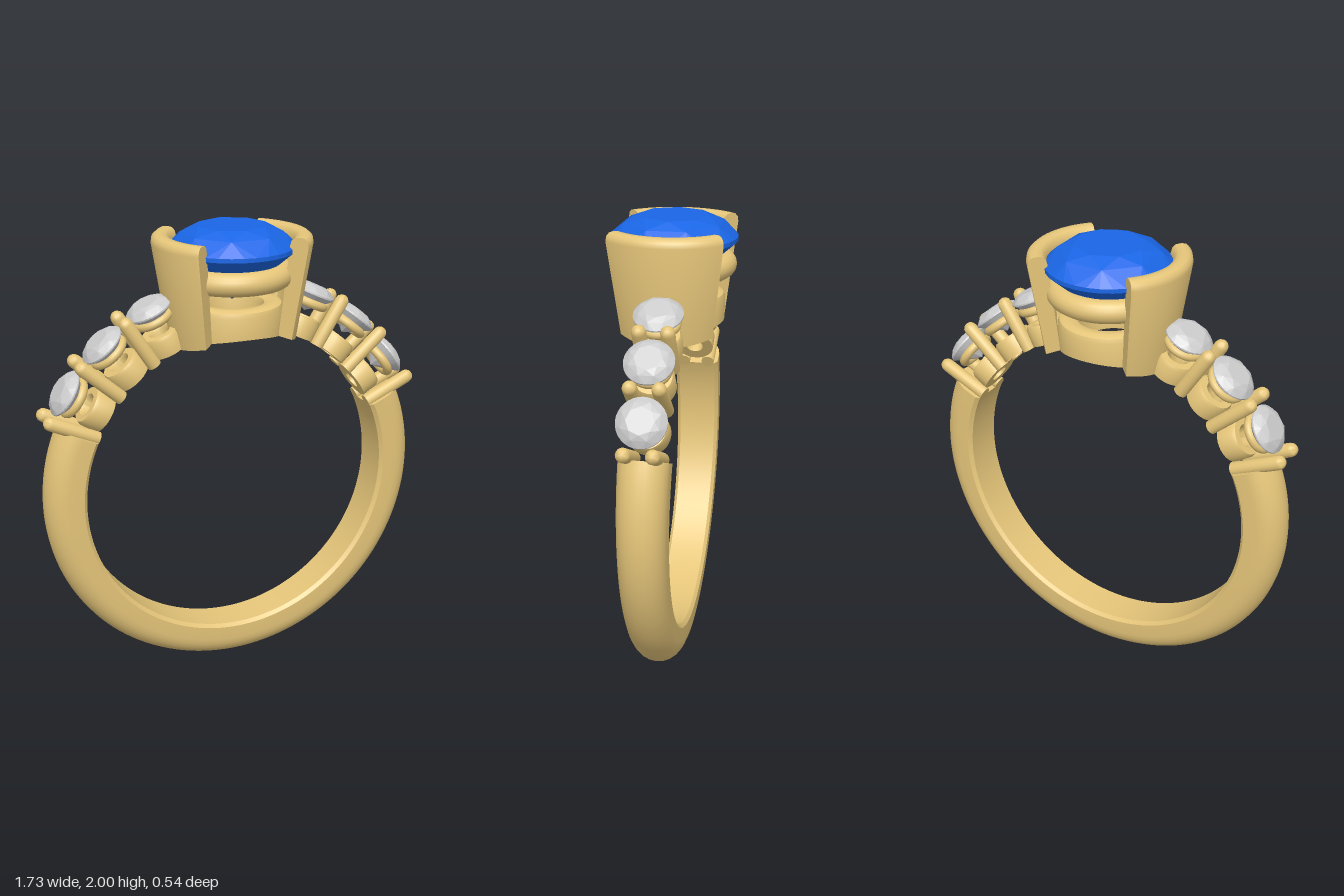
import * as THREE from 'three';
import { mergeGeometries, toCreasedNormals } from 'three/addons/utils/BufferGeometryUtils.js';
import { ConvexGeometry } from 'three/addons/geometries/ConvexGeometry.js';

const CENTRE_Y = 0.863, INNER = 0.695, OUTER = 0.863;
const rad = THREE.MathUtils.degToRad;
const gold = new THREE.MeshStandardMaterial({ color: 0xe6c67a });
const blue = new THREE.MeshStandardMaterial({ color: 0x1a66e6, flatShading: true });
const grey = new THREE.MeshStandardMaterial({ color: 0xcccccc, flatShading: true });

// Closed counter-clockwise profile (radius, height) turned about y, capped when not a full turn
function turned(points, start = 0, length = Math.PI * 2, segments = 48, warp = null) {
  const pts = points.map(([x, y]) => new THREE.Vector2(x, y));
  const parts = [new THREE.LatheGeometry([...pts, pts[0].clone()], segments, start, length)];
  if (length < Math.PI * 2) {
    const first = new THREE.ShapeGeometry(new THREE.Shape(pts));
    const last = first.clone();
    first.rotateY(start - Math.PI / 2);
    last.rotateY(start + length - Math.PI / 2);
    const idx = last.index.array;
    for (let i = 0; i < idx.length; i += 3) [idx[i], idx[i + 1]] = [idx[i + 1], idx[i]];
    parts.push(first, last);
  }
  const geo = mergeGeometries(parts);
  if (warp) {
    const p = geo.attributes.position, v = new THREE.Vector3();
    for (let i = 0; i < p.count; i++) {
      warp(v.fromBufferAttribute(p, i));
      p.setXYZ(i, v.x, v.y, v.z);
    }
  }
  return toCreasedNormals(geo, rad(40));
}

// Trims the underside of the setting to the finger opening
function trimToFinger(v) {
  if (v.y < 1.6) v.y = CENTRE_Y + Math.sqrt(INNER * INNER - v.x * v.x);
}

// Round faceted stone; girdle radius 0.27, girdle at y = 0
function gemGeometry() {
  const pts = [new THREE.Vector3(0, -0.225, 0)];
  const ring = (r, y, n, turn = 0) => {
    for (let i = 0; i < n; i++) {
      const a = ((i + turn) / n) * Math.PI * 2;
      pts.push(new THREE.Vector3(r * Math.sin(a), y, r * Math.cos(a)));
    }
  };
  ring(0.15, 0.095, 8);
  ring(0.216, 0.066, 8, 0.5);
  ring(0.27, 0.01, 32);
  ring(0.27, -0.008, 32);
  ring(0.1, -0.157, 8, 0.5);
  return new ConvexGeometry(pts);
}

function add(parent, name, geometry, material, x = 0, y = 0, z = 0) {
  const mesh = new THREE.Mesh(geometry, material);
  mesh.name = name;
  mesh.position.set(x, y, z);
  parent.add(mesh);
  return mesh;
}

export function createModel() {
  const model = new THREE.Group();
  model.name = 'ring';

  // Band: flat inside, domed outside, a little wider toward its open ends
  const profile = [[INNER + 0.015, -1], [0.77, -1]];
  for (let i = 1; i < 12; i++) {
    const a = -Math.PI / 2 + (i / 12) * Math.PI;
    profile.push([0.77 + (OUTER - 0.77) * Math.cos(a), Math.sin(a)]);
  }
  profile.push([0.77, 1], [INNER + 0.015, 1], [INNER, 0.85], [INNER, -0.85]);
  const bandGeo = turned(profile, rad(-114), rad(228), 120, (v) => {
    const up = THREE.MathUtils.clamp((-v.z + OUTER) / 1.2, 0, 1);
    v.y *= 0.09 + 0.014 * up;
  });
  bandGeo.rotateX(Math.PI / 2);
  add(model, 'band', bandGeo, gold, 0, CENTRE_Y, 0);

  // Centre setting: base ring, bearing ring and two curved walls
  const setting = new THREE.Group();
  setting.name = 'centreSetting';
  model.add(setting);
  add(setting, 'baseRing', turned([[0.13, 1.55], [0.215, 1.55], [0.217, 1.65], [0.21, 1.67], [0.19, 1.68],
    [0.155, 1.68], [0.137, 1.67], [0.13, 1.65]], 0, Math.PI * 2, 64, trimToFinger), gold);
  const bearing = add(setting, 'bearingRing', new THREE.TorusGeometry(0.215, 0.05, 16, 64), gold, 0, 1.795, 0);
  bearing.rotation.x = Math.PI / 2;
  const wall = [[0.213, 1.5], [0.273, 1.5], [0.34, 1.93], [0.336, 1.952], [0.322, 1.965], [0.3, 1.968],
    [0.278, 1.965], [0.264, 1.952], [0.258, 1.93]];
  for (const [name, start] of [['leftWall', 45], ['rightWall', 225]]) {
    add(setting, name, turned(wall, rad(start), rad(90), 32, trimToFinger), gold);
  }
  const gem = gemGeometry();
  add(model, 'centreStone', gem, blue, 0, 1.905, 0);

  // Shoulders: small stones on collars, with pairs of prongs between them
  const prongGeo = turned([[0, 0.693], [0.03, 0.693], [0.03, 0.915], [0.026, 0.93], [0.015, 0.941], [0, 0.945]],
    0, Math.PI * 2, 16);
  const collarGeo = turned([[0.04, 0.697], [0.088, 0.697], [0.088, 0.77], [0.08, 0.785], [0.05, 0.785], [0.04, 0.77]],
    0, Math.PI * 2, 32);
  const seatGeo = new THREE.TorusGeometry(0.072, 0.02, 10, 32).rotateX(Math.PI / 2);
  for (const side of [1, -1]) {
    const shoulder = new THREE.Group();
    shoulder.name = side > 0 ? 'leftShoulder' : 'rightShoulder';
    shoulder.position.y = CENTRE_Y;
    model.add(shoulder);
    // Frame whose y axis points outward from the band centre
    const spoke = (angle, name) => {
      const g = new THREE.Group();
      g.name = name;
      g.rotation.z = side * rad(angle - 90);
      shoulder.add(g);
      return g;
    };
    for (const angle of [25, 41.5, 57.5, 73]) {
      const pair = spoke(angle, 'prongPair');
      for (const z of [-0.058, 0.058]) add(pair, 'prong', prongGeo, gold, 0, 0, z);
    }
    for (const angle of [33.3, 49.5, 65.2]) {
      const mount = spoke(angle, 'stoneMount');
      add(mount, 'collar', collarGeo, gold);
      add(mount, 'seatRing', seatGeo, gold, 0, 0.85, 0);
      add(mount, 'sideStone', gem, grey, 0, 0.893, 0).scale.setScalar(0.38);
    }
  }
  return model;
}
